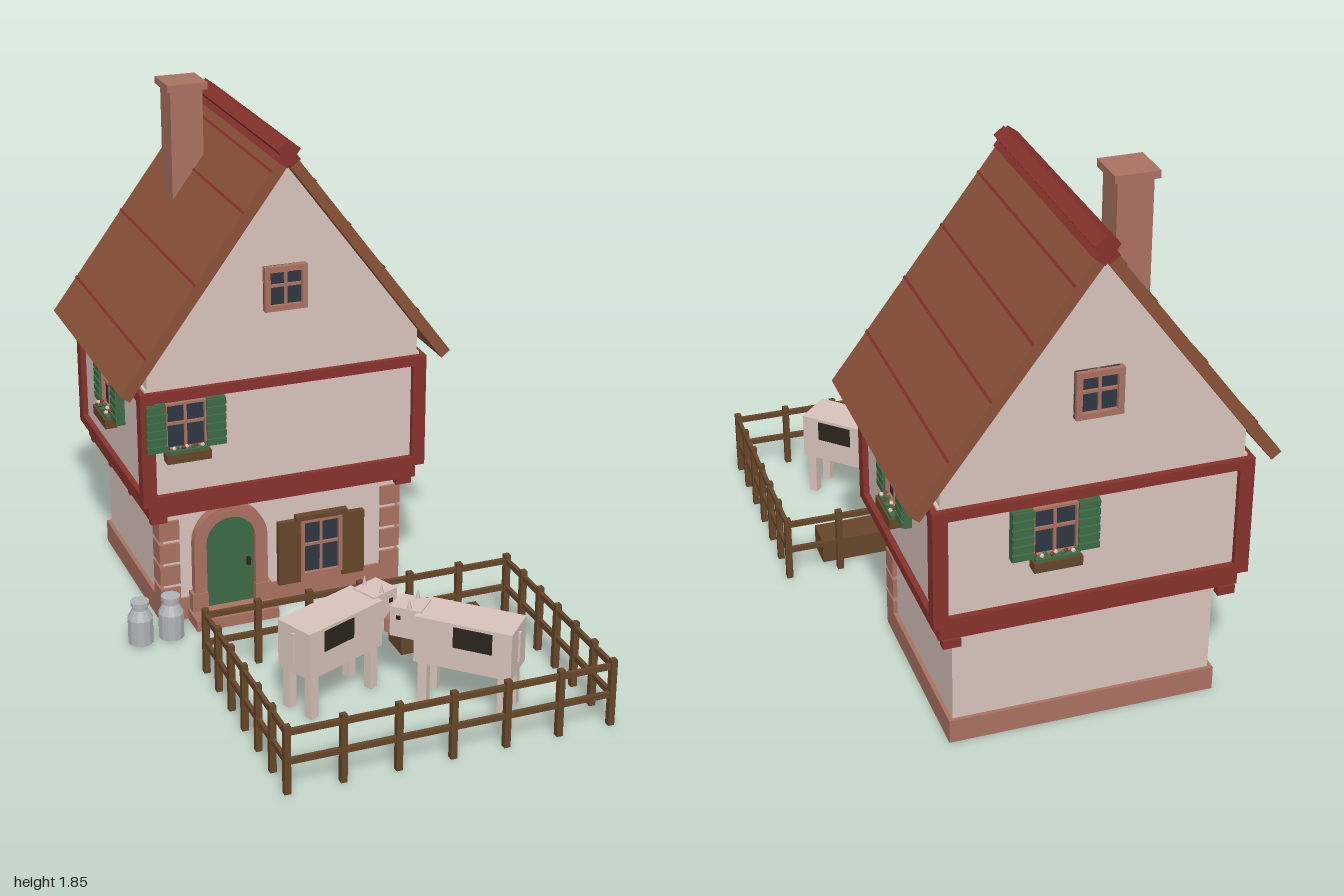
import * as THREE from 'three';

const mat = (name, color) => {
  const m = new THREE.MeshStandardMaterial({ color });
  m.name = name;
  return m;
};
const plaster = mat('plaster', 0xd8c4bc);
const roofTile = mat('roofTile', 0x8c5238);
const redBeam = mat('redBeam', 0x87322c);
const wood = mat('wood', 0x66462a);
const green = mat('green', 0x3c6b45);
const glass = mat('glass', 0x2d3743);
const terracotta = mat('terracotta', 0xaa7261);
const metal = mat('metal', 0xb0b5b8);
const black = mat('black', 0x2b251c);

function add(parent, name, geo, material, x = 0, y = 0, z = 0) {
  const m = new THREE.Mesh(geo, material);
  m.name = name;
  m.position.set(x, y, z);
  parent.add(m);
  return m;
}
const box = (parent, name, material, w, h, d, x, y, z) =>
  add(parent, name, new THREE.BoxGeometry(w, h, d), material, x, y, z);

function group(parent, name, x = 0, y = 0, z = 0, ry = 0) {
  const g = new THREE.Group();
  g.name = name;
  g.position.set(x, y, z);
  g.rotation.y = ry;
  parent.add(g);
  return g;
}

// Extrude a list of [x, y] points from z0 to z1
function prism(points, z0, z1) {
  const shape = new THREE.Shape(points.map(p => new THREE.Vector2(...p)));
  return new THREE.ExtrudeGeometry(shape, { depth: z1 - z0, bevelEnabled: false }).translate(0, 0, z0);
}

// Framed pane with a cross bar, facing +z, back at z = 0
function pane(g, w, h, t = 0.02) {
  box(g, 'glassPane', glass, w, h, 0.008, 0, 0, 0.006);
  for (const s of [-1, 1]) {
    box(g, 'frameSide', terracotta, t, h, 0.025, s * (w - t) / 2, 0, 0.0125);
    box(g, 'frameRail', terracotta, w, t, 0.025, 0, s * (h - t) / 2, 0.0125);
  }
  box(g, 'mullion', terracotta, 0.01, h, 0.016, 0, 0, 0.01);
  box(g, 'transom', terracotta, w, 0.01, 0.016, 0, 0.01, 0.01);
}

// Window with louvred shutters and a flower box
function flowerWindow(parent, name, x, y, z, ry) {
  const g = group(parent, name, x, y, z, ry);
  pane(g, 0.15, 0.175, 0.008);
  for (const s of [-1, 1]) {
    box(g, 'shutter', green, 0.07, 0.18, 0.026, s * 0.108, 0, 0.013);
    for (let i = 0; i < 6; i++)
      box(g, 'shutterSlat', green, 0.07, 0.022, 0.034, s * 0.108, -0.075 + i * 0.03, 0.017);
  }
  box(g, 'flowerBox', wood, 0.16, 0.034, 0.045, 0, -0.107, 0.034);
  box(g, 'leaves', green, 0.145, 0.01, 0.03, 0, -0.086, 0.034);
  for (let i = 0; i < 9; i++)
    add(g, 'flower', new THREE.IcosahedronGeometry(0.008, 0), [redBeam, plaster, green][i % 3],
      -0.068 + i * 0.017, -0.077 + (i % 2) * 0.006, 0.034 + (i % 2 ? 0.01 : -0.008));
}

function buildHouse(root) {
  const h = group(root, 'house', -0.06, 0, -0.55);

  // Ground floor, plinth and step
  box(h, 'groundFloor', plaster, 0.89, 0.45, 0.69, 0, 0.225, 0.005);
  for (const s of [-1, 1]) box(h, 'sidePlinth', terracotta, 0.02, 0.085, 0.7, s * 0.45, 0.0425, 0);
  box(h, 'backPlinth', terracotta, 0.92, 0.085, 0.03, 0, 0.0425, -0.338);
  box(h, 'frontPlinth', terracotta, 0.92, 0.085, 0.03, 0, 0.0425, 0.343);
  box(h, 'doorStep', terracotta, 0.31, 0.04, 0.12, -0.205, 0.02, 0.405);

  // Corner stones
  for (const s of [-1, 1])
    for (let i = 0; i < 4; i++)
      box(h, 'cornerStone', terracotta, 0.075, 0.074, 0.08, s * 0.423, 0.362 - i * 0.088, 0.32);

  // Arched door
  const door = group(h, 'door', -0.202, 0, 0.35);
  const leaf = new THREE.Shape();
  leaf.moveTo(-0.1, 0.03);
  leaf.lineTo(0.1, 0.03);
  leaf.lineTo(0.1, 0.3);
  leaf.absarc(0, 0.3, 0.1, 0, Math.PI, false);
  add(door, 'doorLeaf', new THREE.ExtrudeGeometry(leaf, { depth: 0.015, bevelEnabled: false, curveSegments: 10 }), green);
  const arch = new THREE.Shape();
  arch.absarc(0, 0.3, 0.138, 0, Math.PI, false);
  arch.absarc(0, 0.3, 0.092, Math.PI, 0, true);
  add(door, 'doorArch', new THREE.ExtrudeGeometry(arch, { depth: 0.036, bevelEnabled: false, curveSegments: 10 }), terracotta);
  for (const s of [-1, 1]) {
    box(door, 'doorJamb', terracotta, 0.046, 0.3, 0.036, s * 0.115, 0.15, 0.018);
    box(door, 'jambFoot', terracotta, 0.06, 0.11, 0.042, s * 0.12, 0.055, 0.021);
  }
  box(door, 'doorHandle', black, 0.012, 0.03, 0.02, 0.07, 0.2, 0.02);

  // Ground floor window with plank shutters
  const low = group(h, 'groundWindow', 0.15, 0.21, 0.35);
  pane(low, 0.16, 0.23, 0.014);
  box(low, 'lintel', wood, 0.2, 0.018, 0.03, 0, 0.124, 0.015);
  for (const s of [-1, 1]) box(low, 'plankShutter', wood, 0.085, 0.25, 0.022, s * 0.124, -0.01, 0.011);

  // Upper floor with timber frame
  box(h, 'upperFloor', plaster, 1.02, 0.44, 0.8, 0, 0.71, 0);
  box(h, 'floorBeam', redBeam, 1.01, 0.058, 0.79, 0, 0.467, 0);
  for (const s of [-1, 1]) {
    for (const y of [0.902, 0.513]) {
      box(h, 'longBeam', redBeam, 1.06, 0.036, 0.05, 0, y, s * 0.395);
      box(h, 'sideBeam', redBeam, 0.05, 0.036, 0.84, s * 0.505, y, 0);
    }
    for (const t of [-1, 1]) box(h, 'cornerPost', redBeam, 0.05, 0.425, 0.05, s * 0.505, 0.7075, t * 0.395);
    for (const z of [0.37, 0.11, -0.15, -0.39])
      box(h, 'joistEnd', redBeam, 0.06, 0.03, 0.03, s * 0.465, 0.425, z);
  }
  flowerWindow(h, 'frontWindow', -0.37, 0.79, 0.4, 0);
  flowerWindow(h, 'backWindow', 0.135, 0.79, -0.4, Math.PI);
  flowerWindow(h, 'leftWindow', 0.51, 0.79, 0.005, Math.PI / 2);
  flowerWindow(h, 'rightWindow', -0.51, 0.79, 0.005, -Math.PI / 2);

  // Attic and its windows
  add(h, 'attic', prism([[-0.5, 0.91], [0.5, 0.91], [0.5, 1.02], [0, 1.69], [-0.5, 1.02]], -0.4, 0.4), plaster);
  for (const s of [1, -1]) pane(group(h, 'atticWindow', 0, 1.243, s * 0.4, s > 0 ? 0 : Math.PI), 0.155, 0.16);

  // Roof, course lines and ridge
  add(h, 'roof', prism([[0, 1.75], [-0.607, 0.94], [-0.575, 0.915], [0, 1.685], [0.575, 0.915], [0.607, 0.94]],
    -0.44, 0.45), roofTile);
  const slope = Math.atan2(0.81, 0.607);
  for (const s of [-1, 1]) {
    for (const o of s > 0 ? [0.096, 0.222, 0.35, 0.483] : [0.06, 0.16, 0.335, 0.515])
      box(h, 'roofCourse', redBeam, 0.009, 0.006, 0.89, s * o, 1.75 - o * 1.334, 0.005).rotation.z = -s * slope;
    box(h, 'ridgeCap', redBeam, 0.08, 0.045, 0.9, 0, 1.722, 0.005).rotation.z = s * slope;
  }

  // Chimney
  box(h, 'chimney', terracotta, 0.118, 0.53, 0.118, -0.18, 1.565, -0.15);
  box(h, 'chimneyCap', terracotta, 0.148, 0.025, 0.148, -0.18, 1.838, -0.15);
}

// Cow facing its own +x
function buildCow(root, x, z, ry) {
  const c = group(root, 'cow', x, 0, z, ry);
  box(c, 'body', plaster, 0.34, 0.17, 0.15, 0, 0.242, 0);
  box(c, 'head', plaster, 0.11, 0.11, 0.1, 0.21, 0.277, 0);
  box(c, 'muzzle', terracotta, 0.03, 0.05, 0.075, 0.275, 0.248, 0);
  for (const s of [-1, 1]) {
    add(c, 'horn', new THREE.ConeGeometry(0.009, 0.04, 6), plaster, 0.2, 0.35, s * 0.04);
    box(c, 'eye', black, 0.015, 0.015, 0.006, 0.235, 0.295, s * 0.05);
    box(c, 'patch', black, 0.135, 0.075, 0.006, -0.035, 0.278, s * 0.075);
    for (const lx of [-0.14, 0.14]) box(c, 'leg', plaster, 0.032, 0.16, 0.032, lx, 0.08, s * 0.052);
  }
  box(c, 'tail', plaster, 0.01, 0.11, 0.012, -0.172, 0.25, 0);
}

function buildFence(root) {
  const f = group(root, 'fence', 0.091, 0, 0.587);
  const hx = 0.567, hz = 0.398;
  for (const s of [-1, 1]) {
    for (const y of [0.115, 0.22]) {
      box(f, 'longRail', wood, 2 * hx, 0.02, 0.014, 0, y, s * hz);
      box(f, 'sideRail', wood, 0.014, 0.02, 2 * hz, s * hx, y, 0);
    }
    for (let i = 0; i < 7; i++) {
      const t = -1 + i / 3;
      box(f, 'post', wood, 0.022, 0.245, 0.022, t * hx, 0.1225, s * hz);
      if (i > 0 && i < 6) box(f, 'post', wood, 0.022, 0.245, 0.022, s * hx, 0.1225, t * hz);
    }
  }
}

export function createModel() {
  const root = new THREE.Group();
  root.name = 'farmhouse';
  buildHouse(root);
  buildFence(root);
  buildCow(root, -0.135, 0.487, 0.407);
  buildCow(root, 0.28, 0.69, Math.PI * 0.755);
  box(root, 'trough', wood, 0.335, 0.09, 0.115, 0.355, 0.055, 0.283);

  // Milk cans
  const profile = [[0, 0.005], [0.046, 0.005], [0.046, 0.1], [0.028, 0.135], [0.028, 0.148], [0.034, 0.15], [0.034, 0.165], [0, 0.167]]
    .map(p => new THREE.Vector2(...p));
  for (const x of [-0.628, -0.515]) {
    const can = add(root, 'milkCan', new THREE.LatheGeometry(profile, 12).toNonIndexed(), metal, x, 0, -0.09);
    can.geometry.computeVertexNormals();
  }
  return root;
}
